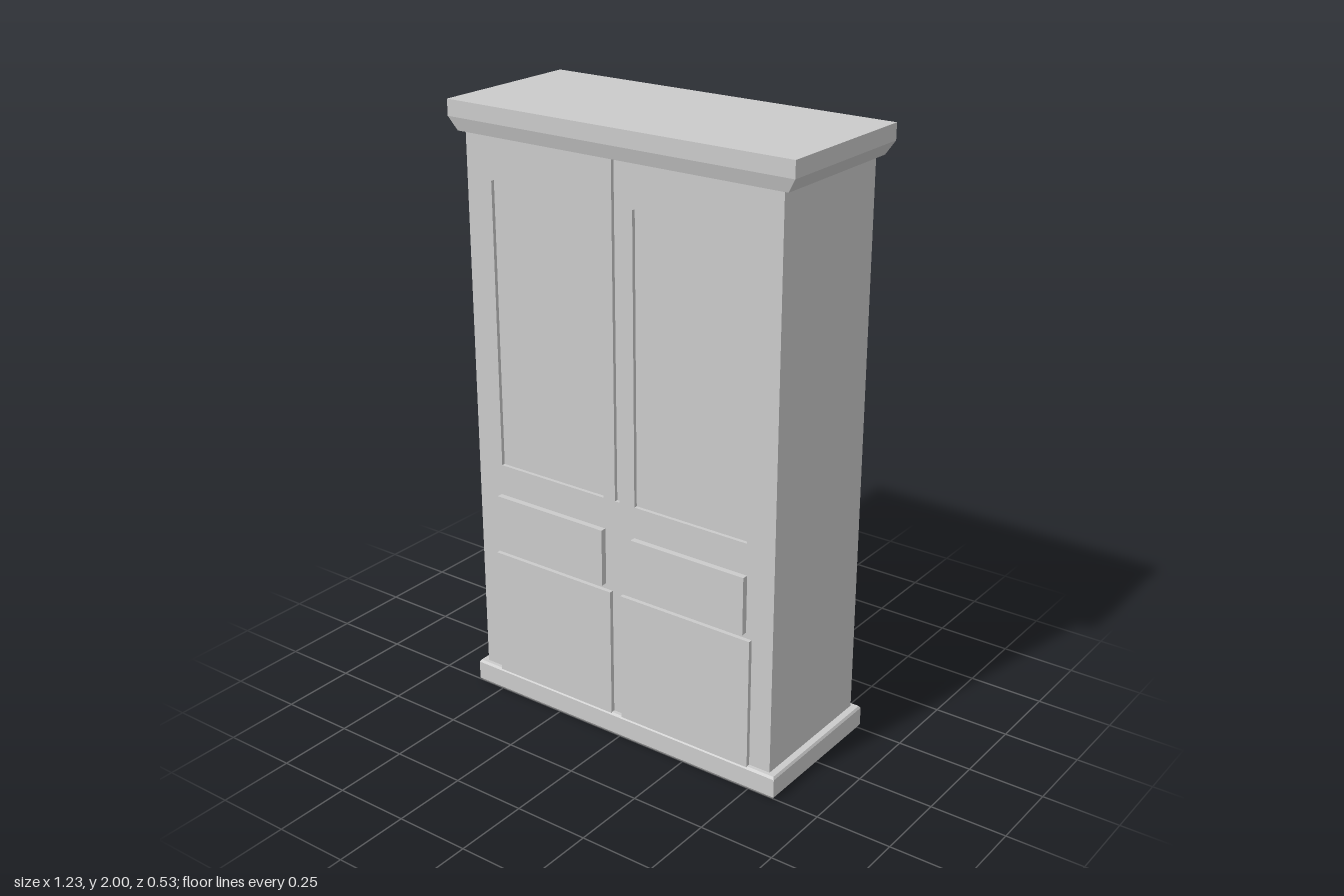
import * as THREE from 'three';

const material = new THREE.MeshStandardMaterial({ color: 0xcccccc, flatShading: true });

function addMesh(parent, name, geometry) {
  const mesh = new THREE.Mesh(geometry, material);
  mesh.name = name;
  parent.add(mesh);
  return mesh;
}

// Box given by its minimum and maximum corners
function addBlock(parent, name, [x0, y0, z0], [x1, y1, z1]) {
  const mesh = addMesh(parent, name, new THREE.BoxGeometry(x1 - x0, y1 - y0, z1 - z0));
  mesh.position.set((x0 + x1) / 2, (y0 + y1) / 2, (z0 + z1) / 2);
}

// Rectangular moulding: rings of [y, half width, half depth] from bottom to top
function moulding(rings) {
  const geometry = new THREE.BoxGeometry(2, 1, 2, 1, rings.length - 1, 1);
  const p = geometry.attributes.position;
  for (let i = 0; i < p.count; i++) {
    const [y, w, d] = rings[Math.round((p.getY(i) + 0.5) * (rings.length - 1))];
    p.setXYZ(i, p.getX(i) * w, y, p.getZ(i) * d);
  }
  geometry.computeVertexNormals();
  return geometry;
}

const path = (points, Type) => new Type(points.map(([x, y]) => new THREE.Vector2(x, y)));

export function createModel() {
  const wardrobe = new THREE.Group();
  wardrobe.name = 'wardrobe';
  const W = 0.57, FRONT = 0.24, BACK = -0.238, RECESS = 0.228;

  // Plain carcass behind the face
  addBlock(wardrobe, 'carcass', [-W, 0.04, BACK], [W, 1.95, RECESS]);

  // Face with sunk arched panels and the gap between the upper doors
  const face = path([[-W, 0.04], [W, 0.04], [W, 1.95], [-W, 1.95]], THREE.Shape);
  const arch = [[0.058, 0.83], [0.472, 0.83], [0.472, 1.765], [0.36, 1.81],
    [0.275, 1.822], [0.21, 1.815], [0.058, 1.765]];
  face.holes.push(path(arch, THREE.Path));
  face.holes.push(path(arch.map(([x, y]) => [-x - 0.003, y]), THREE.Path));
  face.holes.push(path([[-0.017, 0.83], [0, 0.83], [0, 1.92], [-0.017, 1.92]], THREE.Path));
  const faceGeometry = new THREE.ExtrudeGeometry(face, { depth: FRONT - RECESS, bevelEnabled: false });
  addMesh(wardrobe, 'doorFace', faceGeometry).position.z = RECESS;

  // Raised drawer fronts and lower doors
  addBlock(wardrobe, 'rightDrawer', [-0.482, 0.535, 0.23], [-0.056, 0.726, 0.26]);
  addBlock(wardrobe, 'leftDrawer', [0.057, 0.535, 0.23], [0.474, 0.726, 0.26]);
  addBlock(wardrobe, 'rightLowerDoor', [-0.5, 0.06, 0.23], [-0.03, 0.516, 0.254]);
  addBlock(wardrobe, 'leftLowerDoor', [0.01, 0.06, 0.23], [0.495, 0.516, 0.254]);

  // Plinth and flared cornice
  addMesh(wardrobe, 'plinth', moulding([
    [0, 0.59, 0.25], [0.01, 0.597, 0.257], [0.072, 0.597, 0.257], [0.08, 0.592, 0.252]]));
  addMesh(wardrobe, 'cornice', moulding([
    [1.905, 0.59, 0.253], [1.948, 0.617, 0.265], [2, 0.617, 0.265]]));

  return wardrobe;
}
